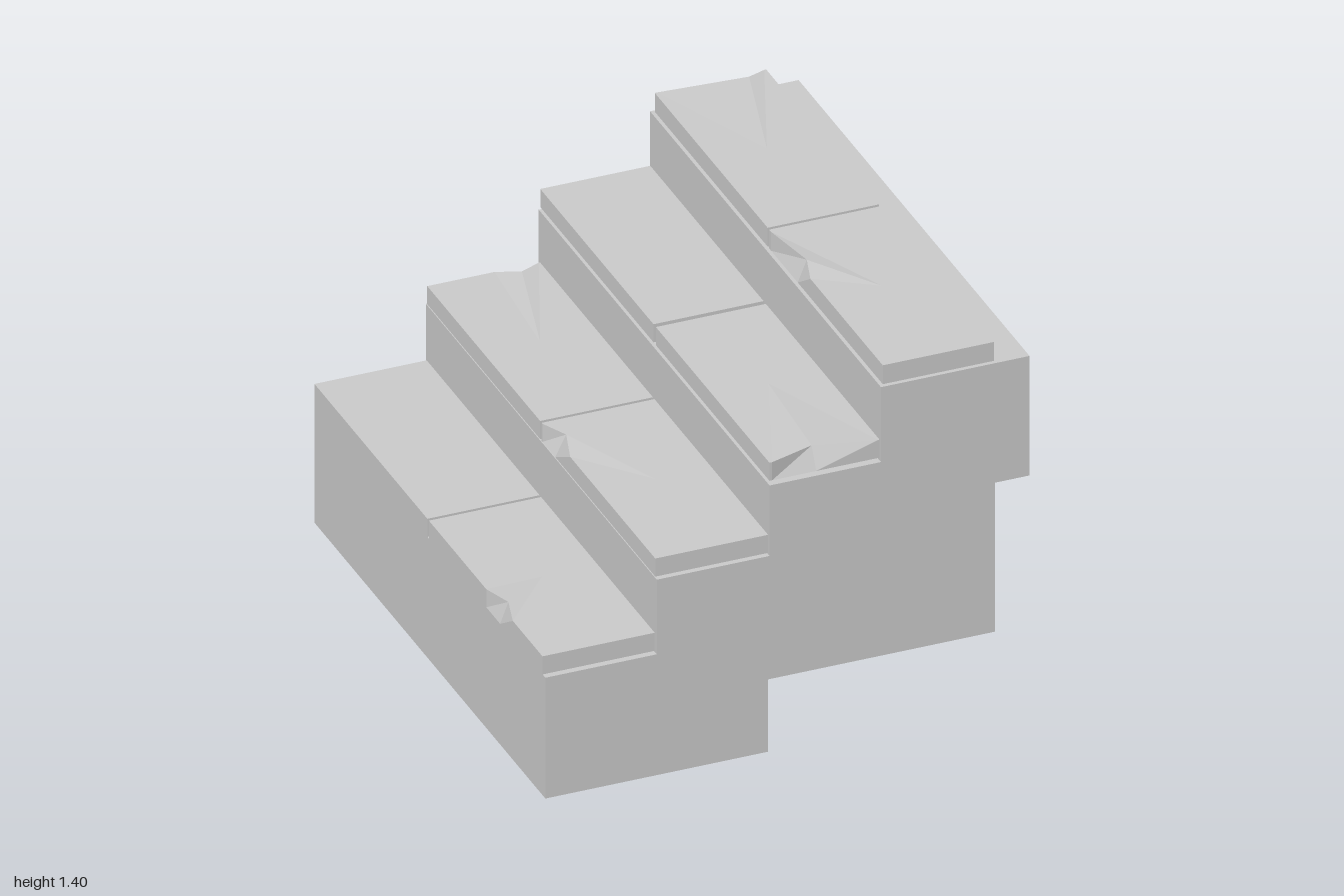
import * as THREE from 'three';

const material = new THREE.MeshStandardMaterial({ color: 0xcccccc, flatShading: true, side: THREE.DoubleSide });

function meshFrom(positions, name) {
  const geometry = new THREE.BufferGeometry();
  geometry.setAttribute('position', new THREE.Float32BufferAttribute(positions, 3));
  geometry.computeVertexNormals();
  const mesh = new THREE.Mesh(geometry, material);
  mesh.name = name;
  return mesh;
}

// Upper line of the flight: risers and treads, ending in the drop behind the top deck
const steps = [
  [-0.88, 0], [-0.88, 0.468], [-0.475, 0.468], [-0.475, 0.757], [-0.065, 0.757],
  [-0.065, 1.03], [0.34, 1.03], [0.34, 1.32], [0.88, 1.32], [0.88, 0.857],
];
// Lower line of the side walls
const underside = [[0.755, 0.857], [0.755, 0.28], [-0.07, 0.28], [-0.07, 0]];

// Thin stepped skin, open underneath
function stepSkin() {
  const positions = [];
  for (let i = 0; i < steps.length - 1; i++) {
    const [ax, ay] = steps[i], [bx, by] = steps[i + 1];
    const a = [ax, ay, -1], b = [ax, ay, 1], c = [bx, by, 1], d = [bx, by, -1];
    positions.push(...a, ...b, ...c, ...a, ...c, ...d);
  }
  return meshFrom(positions, 'risersAndTreads');
}

function sideWall(z, name) {
  const outline = [...steps, ...underside].map(([x, y]) => new THREE.Vector2(x, y));
  const wall = new THREE.Mesh(new THREE.ShapeGeometry(new THREE.Shape(outline)), material);
  wall.position.z = z;
  wall.name = name;
  return wall;
}

// Stone slab; a chip pushes part of the top rim inward.
// Chip edges: 0 = low x, 1 = high z, 2 = high x, 3 = low z.
function slab(name, [x0, x1], [z0, z1], [y0, y1], chip) {
  const corners = [[x0, z0], [x0, z1], [x1, z1], [x1, z0]];
  const inward = [[1, 0], [0, -1], [-1, 0], [0, 1]];
  const top = [], bottom = [];
  corners.forEach(([x, z], edge) => {
    top.push([x, y1, z]);
    bottom.push([x, y0, z]);
    if (!chip || chip.edge !== edge) return;
    chip.along.forEach((p, i) => {
      const [px, pz] = edge % 2 ? [p, z] : [x, p];
      const inset = i === 1 ? chip.depth : 0;
      top.push([px + inward[edge][0] * inset, y1 + (i === 1 ? 0.008 : 0), pz + inward[edge][1] * inset]);
      bottom.push([px, y0, pz]);
    });
  });
  const topMid = [(x0 + x1) / 2, y1, (z0 + z1) / 2];
  const bottomMid = [topMid[0], y0, topMid[2]];
  const positions = [];
  for (let i = 0; i < top.length; i++) {
    const j = (i + 1) % top.length;
    positions.push(...topMid, ...top[i], ...top[j]);
    positions.push(...bottomMid, ...bottom[j], ...bottom[i]);
    positions.push(...bottom[i], ...bottom[j], ...top[j], ...bottom[i], ...top[j], ...top[i]);
  }
  return meshFrom(positions, name);
}

// One row per step: extent in x and y, with the chips of its rear and front slab
const slabRows = [
  { x: [-0.885, -0.477], y: [0.475, 0.545],
    front: { edge: 0, along: [0.5, 0.62, 0.73], depth: 0.03 } },
  { x: [-0.475, -0.065], y: [0.762, 0.832],
    rear: { edge: 3, along: [-0.07, -0.15, -0.23], depth: 0.045 },
    front: { edge: 0, along: [0.01, 0.12, 0.25], depth: 0.04 } },
  { x: [-0.06, 0.343], y: [1.04, 1.11], rearZ: [-0.998, -0.017],
    front: { edge: 1, along: [-0.05, 0.11, 0.335], depth: 0.04 } },
  { x: [0.352, 0.757], y: [1.322, 1.395],
    rear: { edge: 3, along: [0.75, 0.68, 0.36], depth: 0.035 },
    front: { edge: 0, along: [0.02, 0.25, 0.36], depth: 0.033 } },
];

export function createModel() {
  const model = new THREE.Group();
  model.name = 'stairs';

  const base = new THREE.Group();
  base.name = 'base';
  base.add(stepSkin(), sideWall(1, 'frontWall'), sideWall(-1, 'rearWall'));
  model.add(base);

  const slabs = new THREE.Group();
  slabs.name = 'slabs';
  slabRows.forEach((row, i) => {
    slabs.add(slab(`rearSlab${i + 1}`, row.x, row.rearZ ?? [-0.988, -0.01], row.y, row.rear));
    slabs.add(slab(`frontSlab${i + 1}`, row.x, [0.003, 0.987], row.y, row.front));
  });
  model.add(slabs);
  return model;
}
